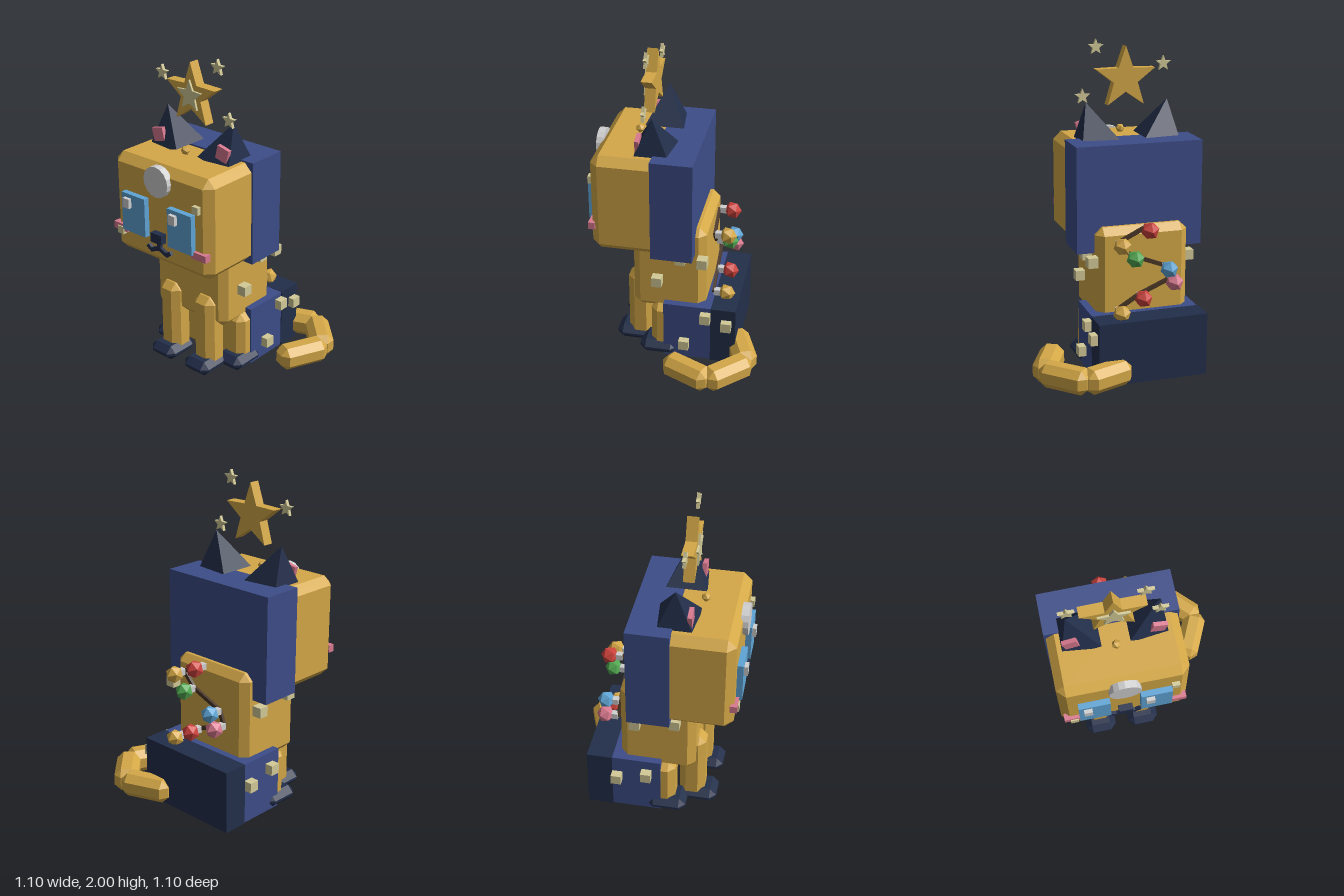
import * as THREE from 'three';
import { ConvexGeometry } from 'three/addons/geometries/ConvexGeometry.js';

const CX = -0.155; // body's mid line

export function createModel() {
  const model = new THREE.Group();
  model.name = 'cat';

  const material = (name, color) => {
    const m = new THREE.MeshStandardMaterial({ color });
    m.name = name;
    return m;
  };
  const gold = material('gold', 0xd4a847);
  const navy = material('navy', 0x222e4a);
  const blue = material('blue', 0x3d4d88);
  const sky = material('sky blue', 0x5fa5d6);
  const pink = material('pink', 0xd9798f);
  const cream = material('cream', 0xd4cb98);
  const grey = material('light grey', 0xd0d0d0);
  const red = material('red', 0xcc423c);
  const green = material('green', 0x52a852);
  const brown = material('brown', 0x4a3626);

  const add = (name, geometry, mat, x, y, z) => {
    const mesh = new THREE.Mesh(geometry, mat);
    mesh.name = name;
    mesh.position.set(x, y, z);
    model.add(mesh);
    return mesh;
  };
  const box = (name, mat, w, h, d, x, y, z) =>
    add(name, new THREE.BoxGeometry(w, h, d), mat, x, y, z);
  const span = (name, mat, [x0, x1], [y0, y1], [z0, z1]) =>
    box(name, mat, x1 - x0, y1 - y0, z1 - z0, (x0 + x1) / 2, (y0 + y1) / 2, (z0 + z1) / 2);

  // box with every edge cut off at 45 degrees
  const chamfer = (w, h, d, b) => {
    const points = [];
    for (const x of [-1, 1]) for (const y of [-1, 1]) for (const z of [-1, 1]) {
      points.push(
        new THREE.Vector3(x * w / 2, y * (h / 2 - b), z * (d / 2 - b)),
        new THREE.Vector3(x * (w / 2 - b), y * h / 2, z * (d / 2 - b)),
        new THREE.Vector3(x * (w / 2 - b), y * (h / 2 - b), z * d / 2));
    }
    return new ConvexGeometry(points);
  };
  const chamferSpan = (name, mat, [x0, x1], [y0, y1], [z0, z1], b) =>
    add(name, chamfer(x1 - x0, y1 - y0, z1 - z0, b), mat,
      (x0 + x1) / 2, (y0 + y1) / 2, (z0 + z1) / 2);

  // flat bar between two points in a plane of constant z
  const bar = (name, mat, [x0, y0], [x1, y1], z, width, depth) => {
    const length = Math.hypot(x1 - x0, y1 - y0) + width * 0.3;
    const mesh = box(name, mat, length, width, depth, (x0 + x1) / 2, (y0 + y1) / 2, z);
    mesh.rotation.z = Math.atan2(y1 - y0, x1 - x0);
  };

  const star = (name, mat, R, r, depth, x, y, z) => {
    const points = [];
    for (let i = 0; i < 10; i++) {
      const a = Math.PI / 2 + i * Math.PI / 5, q = i % 2 ? r : R;
      points.push(new THREE.Vector2(q * Math.cos(a), q * Math.sin(a)));
    }
    const g = new THREE.ExtrudeGeometry(new THREE.Shape(points), { depth, bevelEnabled: false });
    g.translate(0, 0, -depth / 2);
    add(name, g, mat, x, y, z);
  };

  // head, body and their blue covers
  chamferSpan('head', gold, [-0.54, 0.23], [0.77, 1.4], [-0.11, 0.487], 0.05);
  span('headCover', blue, [-0.55, 0.24], [0.76, 1.41], [-0.135, 0.12]);
  chamferSpan('body', gold, [-0.445, 0.133], [0.325, 0.92], [-0.2, 0.257], 0.045);
  chamferSpan('haunch', gold, [-0.48, 0.17], [0, 0.37], [-0.39, 0.1], 0.04);
  span('haunchCover', blue, [-0.49, 0.18], [0.012, 0.398], [-0.25, 0.055]);
  span('rearCover', navy, [-0.495, 0.185], [0.01, 0.4], [-0.402, -0.245]);

  for (const s of [-1, 1]) {
    // legs and paws
    add('frontLeg', chamfer(0.16, 0.48, 0.16, 0.042), gold, CX + s * 0.142, 0.28, 0.23);
    add('frontPaw', chamfer(0.2, 0.095, 0.24, 0.04), navy, CX + s * 0.142, 0.056, 0.266);
    add('hindLeg', chamfer(0.16, 0.33, 0.16, 0.042), gold, CX + s * 0.247, 0.205, 0.06);
    add('hindPaw', chamfer(0.2, 0.095, 0.24, 0.04), navy, CX + s * 0.26, 0.056, 0.09);

    // ears leaning outward
    const cone = new THREE.ConeGeometry(0.17, 0.25, 4).toNonIndexed();
    cone.computeVertexNormals();
    cone.rotateY(Math.PI / 4);
    cone.translate(0, 0.125, 0);
    add('ear', cone, navy, CX + s * 0.2, 1.383, 0.13).rotation.z = -s * 0.24;
    box('innerEar', pink, 0.085, 0.085, 0.026, CX + s * 0.252, 1.46, 0.215).rotation.z = -s * 0.24;

    // eyes, glints and cheeks
    box('eye', sky, 0.187, 0.245, 0.05, CX + s * 0.184, 1.057, 0.498);
    box('eyeGlint', grey, 0.05, 0.06, 0.03, CX + s * 0.184 - 0.04, 1.125, 0.531);
    box('cheek', pink, 0.11, 0.045, 0.042, CX + s * 0.315, 0.932, 0.486);

    // mouth
    bar('mouth', navy, [CX, 0.885], [CX + s * 0.065, 0.858], 0.492, 0.025, 0.03);
    bar('mouthCorner', navy, [CX + s * 0.055, 0.858], [CX + s * 0.09, 0.88], 0.492, 0.025, 0.03);
  }
  box('nose', navy, 0.085, 0.06, 0.05, CX, 0.957, 0.503);
  box('mouthStem', navy, 0.026, 0.06, 0.03, CX, 0.905, 0.492);

  // round forehead mark with a knob above it
  const disc = new THREE.CylinderGeometry(0.095, 0.095, 0.045, 16).toNonIndexed();
  disc.computeVertexNormals();
  disc.rotateX(Math.PI / 2);
  add('foreheadDisc', disc, grey, CX, 1.312, 0.495);
  add('knob', new THREE.IcosahedronGeometry(0.028, 0), gold, CX, 1.432, 0.26);

  // floating stars
  star('bigStar', gold, 0.197, 0.08, 0.066, CX, 1.757, 0.177);
  star('starInset', cream, 0.097, 0.043, 0.02, CX, 1.755, 0.213);
  for (const [x, y] of [[-0.405, 1.837], [0.027, 1.951], [0.112, 1.655]])
    star('smallStar', cream, 0.049, 0.021, 0.02, x, y, 0.177);

  // tail of overlapping segments curling forward
  const tail = [[[0, -0.38], [0.3, -0.495]], [[0.272, -0.503], [0.5, -0.27]], [[0.496, -0.294], [0.36, 0]]];
  for (const [[x0, z0], [x1, z1]] of tail) {
    const dx = x1 - x0, dz = z1 - z0;
    const segment = add('tailSegment', chamfer(Math.hypot(dx, dz), 0.15, 0.15, 0.042), gold,
      (x0 + x1) / 2, 0.095, (z0 + z1) / 2);
    segment.rotation.y = Math.atan2(-dz, dx);
  }

  // string of coloured lights winding down the back
  const lights = [[-0.155, 0.925, red], [0.016, 0.843, gold], [-0.065, 0.758, green], [-0.278, 0.675, sky],
    [-0.313, 0.59, pink], [-0.117, 0.507, red], [0.018, 0.425, gold]];
  lights.forEach(([x, y, mat], i) => {
    const bulb = new THREE.IcosahedronGeometry(0.055, 0);
    bulb.rotateX(Math.atan(2 / (1 + Math.sqrt(5))));
    add('bulb', bulb, mat, x, y, -0.318);
    box('bulbSocket', grey, 0.038, 0.038, 0.04, x, y, -0.259);
    if (i) bar('wire', brown, lights[i - 1], [x, y], -0.235, 0.024, 0.018);
  });

  // little cubes stuck on the sides
  const cubes = [[0.16, 0.555, 0.097], [0.16, 0.733, -0.05], [0.163, 0.722, -0.186],
    [0.196, 0.338, -0.214], [0.196, 0.298, -0.346], [0.196, 0.125, -0.08],
    [-0.51, 0.26, -0.214], [-0.51, 0.305, -0.03], [-0.475, 0.69, -0.1], [-0.475, 0.73, 0.14]];
  for (const [x, y, z] of cubes) box('cube', cream, 0.063, 0.063, 0.063, x, y, z);
  box('faceCube', cream, 0.048, 0.048, 0.05, -0.465, 0.915, 0.49);
  box('faceCube', cream, 0.046, 0.046, 0.05, 0.143, 1.22, 0.487);

  return model;
}
